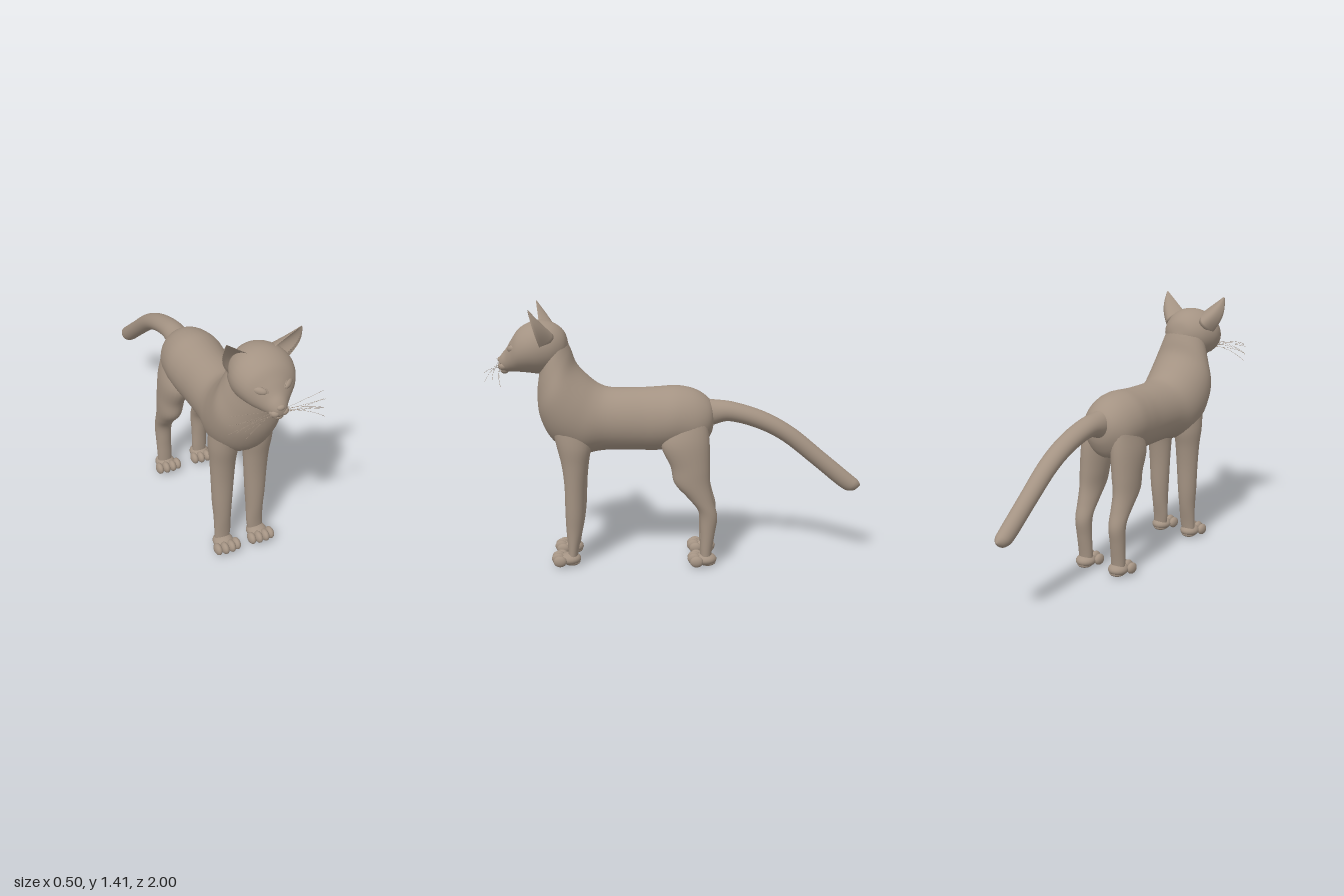
import * as THREE from 'three';

const V = (x, y, z) => new THREE.Vector3(x, y, z);
const coat = new THREE.MeshStandardMaterial({ color: 0xa49383 });
coat.name = 'taupe coat';

// Closed skin over a list of equal-length rings, capped at both ends.
function skin(rings) {
  const n = rings[0].length, pts = rings.flat(), idx = [];
  for (let i = 0; i < rings.length - 1; i++) {
    for (let j = 0; j < n; j++) {
      const a = i * n + j, b = i * n + (j + 1) % n;
      idx.push(a, b, a + n, b, b + n, a + n);
    }
  }
  [0, rings.length - 1].forEach((r, end) => {
    const c = pts.length;
    const mid = rings[r].reduce((s, p) => s.add(p), V(0, 0, 0)).divideScalar(n);
    pts.push(mid);
    for (let j = 0; j < n; j++) {
      const a = r * n + j, b = r * n + (j + 1) % n;
      if (end) idx.push(a, b, c); else idx.push(b, a, c);
    }
  });
  // Turn the faces outward if the enclosed volume comes out negative
  let volume = 0;
  for (let i = 0; i < idx.length; i += 3) {
    volume += pts[idx[i]].dot(V(0, 0, 0).crossVectors(pts[idx[i + 1]], pts[idx[i + 2]]));
  }
  if (volume < 0) idx.reverse();
  const g = new THREE.BufferGeometry().setFromPoints(pts);
  g.setIndex(idx);
  g.computeVertexNormals();
  return g;
}

// Smooth loft; each section is [z1, y1, z2, y2, halfWidth, centreX]
function loft(sections, side = 1, n = 32, sub = 5) {
  const at = (i) => sections[Math.max(0, Math.min(sections.length - 1, i))];
  const rings = [];
  for (let k = 0; k <= (sections.length - 1) * sub; k++) {
    const i = Math.floor(k / sub), t = k / sub - i;
    const [z1, y1, z2, y2, w, cx = 0] = at(i).map((b, m) => {
      const a = at(i - 1)[m], c = at(i + 1)[m], d = at(i + 2)[m];
      return b + 0.5 * t * (c - a + t * (2 * a - 5 * b + 4 * c - d + t * (3 * (b - c) + d - a)));
    });
    rings.push(Array.from({ length: n }, (_, j) => {
      const q = (j / n) * Math.PI * 2, s = Math.sin(q) / 2;
      return V(side * cx + Math.max(w, 0.002) * Math.cos(q),
        (y1 + y2) / 2 + (y1 - y2) * s, (z1 + z2) / 2 + (z1 - z2) * s);
    }));
  }
  return skin(rings);
}

const bodySections = [
  [-0.195, 0.83, -0.195, 0.80, 0.02], [-0.175, 0.90, -0.18, 0.72, 0.09],
  [-0.10, 0.957, -0.12, 0.64, 0.142], [0, 0.98, 0, 0.64, 0.165],
  [0.10, 0.975, 0.10, 0.63, 0.162], [0.20, 0.97, 0.22, 0.63, 0.155],
  [0.35, 0.97, 0.40, 0.63, 0.16], [0.42, 0.99, 0.55, 0.61, 0.178],
  [0.48, 1.035, 0.675, 0.69, 0.19], [0.54, 1.10, 0.74, 0.82, 0.185],
  [0.57, 1.18, 0.75, 0.95, 0.153], [0.61, 1.26, 0.74, 1.04, 0.125],
  [0.66, 1.29, 0.745, 1.08, 0.10],
];
const headSections = [
  [0.58, 1.20, 0.58, 1.18, 0.02], [0.60, 1.27, 0.60, 1.12, 0.08],
  [0.65, 1.315, 0.65, 1.07, 0.13], [0.72, 1.334, 0.72, 1.05, 0.157],
  [0.78, 1.325, 0.78, 1.055, 0.158], [0.84, 1.29, 0.84, 1.06, 0.133],
  [0.88, 1.235, 0.88, 1.06, 0.092], [0.91, 1.185, 0.91, 1.06, 0.06],
  [0.935, 1.155, 0.935, 1.065, 0.04], [0.95, 1.13, 0.95, 1.08, 0.022],
  [0.953, 1.11, 0.953, 1.10, 0.003],
];
const tailSections = [
  [-0.08, 0.92, -0.10, 0.74, 0.06], [-0.18, 0.905, -0.19, 0.765, 0.064],
  [-0.30, 0.89, -0.28, 0.785, 0.06], [-0.47, 0.835, -0.43, 0.745, 0.056],
  [-0.63, 0.745, -0.57, 0.672, 0.052], [-0.80, 0.605, -0.735, 0.54, 0.047],
  [-0.95, 0.48, -0.89, 0.412, 0.043], [-0.985, 0.45, -0.95, 0.39, 0.032],
  [-1.0, 0.425, -0.985, 0.405, 0.006],
];
const frontLegSections = [
  [0.67, 0.78, 0.46, 0.76, 0.06, 0.10], [0.65, 0.68, 0.465, 0.66, 0.075, 0.095],
  [0.625, 0.57, 0.485, 0.57, 0.068, 0.095], [0.612, 0.45, 0.50, 0.45, 0.062, 0.095],
  [0.61, 0.30, 0.508, 0.30, 0.054, 0.096], [0.607, 0.20, 0.52, 0.20, 0.047, 0.095],
  [0.60, 0.10, 0.54, 0.10, 0.045, 0.095], [0.60, 0.03, 0.55, 0.03, 0.04, 0.10],
];
const hindLegSections = [
  [0.04, 0.80, -0.15, 0.83, 0.045, 0.095], [0.09, 0.68, -0.168, 0.70, 0.075, 0.098],
  [0.04, 0.56, -0.17, 0.56, 0.07, 0.106], [0.02, 0.47, -0.172, 0.46, 0.062, 0.112],
  [-0.05, 0.39, -0.19, 0.37, 0.055, 0.112], [-0.11, 0.31, -0.212, 0.28, 0.048, 0.112],
  [-0.12, 0.20, -0.20, 0.19, 0.043, 0.112], [-0.12, 0.10, -0.185, 0.09, 0.042, 0.11],
  [-0.12, 0.03, -0.18, 0.03, 0.04, 0.11],
];

// Cupped ear: a crescent outline tapering to a forward-leaning tip
function earGeometry(s) {
  const inner = V(0.06, 1.31, 0.74), outer = V(0.148, 1.205, 0.715), tip = V(0.2, 1.42, 0.77);
  const back = new THREE.QuadraticBezierCurve3(inner, V(0.11, 1.27, 0.565), outer);
  const cup = new THREE.QuadraticBezierCurve3(outer, V(0.115, 1.28, 0.61), inner);
  const rings = [];
  for (let i = 0; i <= 14; i++) {
    const v = i / 14;
    rings.push(Array.from({ length: 24 }, (_, j) => {
      const u = (j % 12) / 12, p = (j < 12 ? back : cup).getPoint(u);
      const out = j < 12 ? u : 1 - u;
      p.lerp(tip, v * 0.93);
      p.x = s * (p.x + 0.028 * Math.sin(Math.PI * v) * out);
      return p;
    }));
  }
  return skin(rings);
}

export function createModel() {
  const cat = new THREE.Group();
  cat.name = 'cat';
  const add = (name, geometry, parent = cat) => {
    const m = new THREE.Mesh(geometry, coat);
    m.name = name;
    parent.add(m);
    return m;
  };
  const ball = (name, parent, x, y, z, rx, ry, rz) => {
    const m = add(name, new THREE.SphereGeometry(1, 20, 14), parent);
    m.position.set(x, y, z);
    m.scale.set(rx, ry, rz);
    return m;
  };

  add('body', loft(bodySections));
  add('tail', loft(tailSections));
  const head = new THREE.Group();
  head.name = 'head';
  cat.add(head);
  add('skull', loft(headSections), head);
  ball('nose', head, 0, 1.125, 0.945, 0.021, 0.014, 0.014);
  ball('chin', head, 0, 1.068, 0.922, 0.027, 0.02, 0.024);

  for (const s of [1, -1]) {
    const side = s > 0 ? 'left' : 'right';

    // Face
    add(side + 'Ear', earGeometry(s), head);
    ball(side + 'MuzzlePad', head, s * 0.022, 1.092, 0.925, 0.028, 0.023, 0.03);
    const eye = new THREE.Group();
    eye.name = side + 'Eye';
    eye.position.set(s * 0.074, 1.194, 0.872);
    eye.rotation.set(-0.2, s * 0.65, s * 0.2, 'YXZ');
    head.add(eye);
    ball('eyeball', eye, 0, 0, 0, 0.036, 0.019, 0.016);
    const lid = add('eyelid', new THREE.TorusGeometry(0.038, 0.004, 8, 28), eye);
    lid.scale.set(1, 0.6, 1);
    for (let i = 0; i < 7; i++) {
      const y = 1.105 - (i % 4) * 0.009, r = i / 6;
      const path = new THREE.QuadraticBezierCurve3(V(s * 0.03, y, 0.935),
        V(s * 0.14, y + 0.03 - r * 0.035, 0.945 + 0.02 * (i % 3)),
        V(s * (0.25 - 0.02 * (i % 3)), 1.125 - r * 0.1, 0.91 + 0.044 * (i % 3)));
      add('whisker', new THREE.TubeGeometry(path, 10, 0.0008, 4), head);
    }

    // Legs with four-toed paws
    const legs = [['Front', frontLegSections, 0.10, 0.59], ['Hind', hindLegSections, 0.11, -0.15]];
    for (const [place, sections, x, z] of legs) {
      const leg = new THREE.Group();
      leg.name = side + place + 'Leg';
      cat.add(leg);
      add('leg', loft(sections, s, 24), leg);
      ball('paw', leg, s * x, 0.038, z, 0.055, 0.034, 0.06);
      ball('heelPad', leg, s * x, 0.02, z - 0.01, 0.042, 0.02, 0.045);
      [-0.054, -0.019, 0.019, 0.054].forEach((dx, i) => {
        const middle = i === 1 || i === 2;
        ball('toe', leg, s * x + dx, middle ? 0.043 : 0.038, z + (middle ? 0.062 : 0.05), 0.021, 0.031, 0.036);
      });
    }
  }
  return cat;
}
